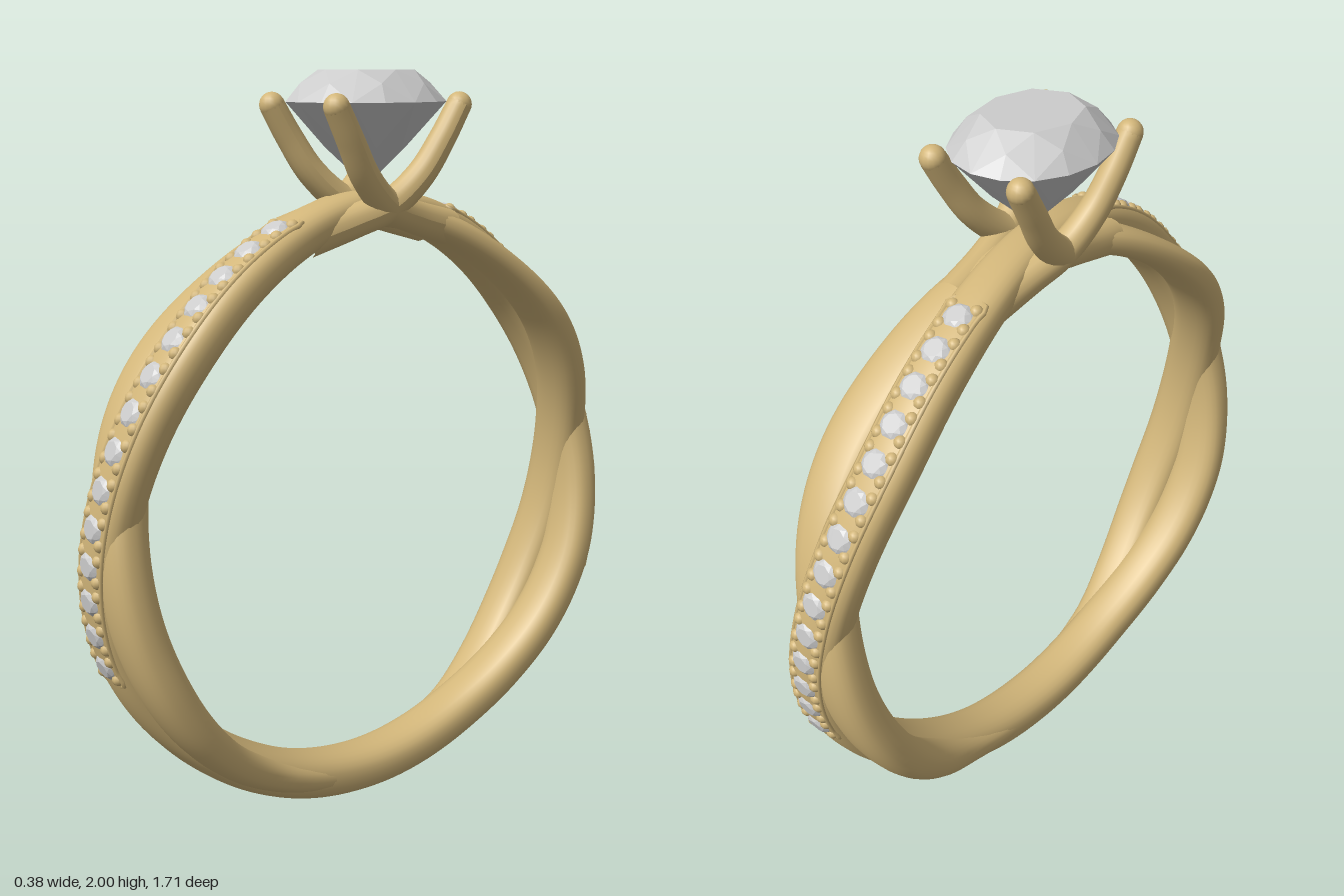
import * as THREE from 'three';
import { ConvexGeometry } from 'three/addons/geometries/ConvexGeometry.js';

const gold = new THREE.MeshStandardMaterial({ color: 0xd2b67a });
const stone = new THREE.MeshStandardMaterial({ color: 0xcccccc, flatShading: true });
const CENTRE = 0.85;

// Sideways sway: degrees from the top, offset of the stone set band and of the plain band
const SWAY = [
  [0, 0, 0], [20, 0.046, -0.046], [40, 0.071, -0.071], [52, 0.071, -0.071], [66, 0.043, -0.048],
  [81, 0, -0.005], [94, -0.038, 0.026], [108, -0.066, 0.05], [118, -0.068, 0.062],
  [129, -0.058, 0.063], [141, -0.037, 0.047], [156, -0.013, 0.016], [180, 0, 0],
];

function sway(t, column) {
  const turn = Math.atan2(Math.sin(t), Math.cos(t));
  const d = Math.min(THREE.MathUtils.radToDeg(Math.abs(turn)), 179.999);
  const i = SWAY.findIndex((p) => p[0] > d) - 1;
  const slope = (k) => {
    const a = SWAY[Math.max(k - 1, 0)], b = SWAY[Math.min(k + 1, SWAY.length - 1)];
    return (b[column] - a[column]) / (b[0] - a[0]);
  };
  const span = SWAY[i + 1][0] - SWAY[i][0], u = (d - SWAY[i][0]) / span;
  const ease = u * u * (3 - 2 * u);
  const x = SWAY[i][column] * (1 - ease) + SWAY[i + 1][column] * ease
    + span * (slope(i) * u * (1 - u) ** 2 - slope(i + 1) * u * u * (1 - u));
  return Math.sign(turn) * x;
}

// Centre, axes and half sizes of a band at angle t (0 = top, positive to the front)
function bandFrame(t, plain) {
  const top = Math.exp(-((t / 0.4) ** 2)); // slimmer and higher under the setting
  const low = THREE.MathUtils.smoothstep(Math.abs(t), 1.9, 2.7); // bands merge below
  const dip = Math.exp(-(((Math.abs(t) - 0.62) / 0.42) ** 2)); // plain band sits deeper
  const outer = plain ? 0.836 - 0.012 * low - 0.042 * dip : 0.848;
  const inner = plain ? 0.717 + 0.036 * top + 0.023 * low - 0.006 * dip : 0.732 + 0.02 * top - 0.012 * low;
  const r = (outer + inner) / 2, h = (outer - inner) / 2;
  const at = (a) => new THREE.Vector3(sway(a, plain ? 2 : 1), CENTRE + r * Math.cos(a), r * Math.sin(a));
  const radial = new THREE.Vector3(0, Math.cos(t), Math.sin(t));
  const tangent = at(t + 0.01).sub(at(t - 0.01)).normalize();
  const lateral = new THREE.Vector3().crossVectors(radial, tangent).normalize();
  const w = 0.077 - 0.014 * top - (plain ? 0.012 * low : 0);
  return { pos: at(t), radial, tangent, lateral, h, w };
}

// Closed band with a softly squared oval section
function bandGeometry(plain) {
  const n = 200, m = 24, pos = [], idx = [];
  const soft = (v) => Math.sign(v) * Math.abs(v) ** 0.82;
  for (let i = 0; i < n; i++) {
    const f = bandFrame(-Math.PI + (i / n) * Math.PI * 2, plain);
    for (let j = 0; j < m; j++) {
      const a = (j / m) * Math.PI * 2;
      const p = f.pos.clone()
        .addScaledVector(f.lateral, f.w * soft(Math.cos(a)))
        .addScaledVector(f.radial, f.h * soft(Math.sin(a)));
      pos.push(p.x, p.y, p.z);
      const i2 = (i + 1) % n, j2 = (j + 1) % m;
      idx.push(i * m + j, i * m + j2, i2 * m + j, i * m + j2, i2 * m + j2, i2 * m + j);
    }
  }
  const g = new THREE.BufferGeometry();
  g.setAttribute('position', new THREE.Float32BufferAttribute(pos, 3));
  g.setIndex(idx);
  g.computeVertexNormals();
  return g;
}

// Brilliant cut with unit radius, girdle at y = 0
function brilliantGeometry(crown, pavilion) {
  const pts = [new THREE.Vector3(0, -pavilion, 0)];
  const ring = (count, r, y, turn) => {
    for (let i = 0; i < count; i++) {
      const a = ((i + turn) / count) * Math.PI * 2;
      pts.push(new THREE.Vector3(r * Math.cos(a), y, r * Math.sin(a)));
    }
  };
  ring(8, 0.6, crown, 0);
  ring(8, 0.82, crown * 0.58, 0.5);
  ring(16, 1, 0, 0);
  ring(8, 0.52, -pavilion * 0.53, 0.5);
  return new ConvexGeometry(pts);
}

function add(parent, name, geometry, material) {
  const mesh = new THREE.Mesh(geometry, material);
  mesh.name = name;
  parent.add(mesh);
  return mesh;
}

// Row of small stones with holding beads and a fine rim
function stoneRow() {
  const row = new THREE.Group();
  row.name = 'stoneRow';
  const gem = brilliantGeometry(0.35, 0.7);
  const bead = new THREE.SphereGeometry(0.0175, 10, 8);
  const start = 0.35, end = 1.985, count = 14;
  const surface = (t, side, along, lift) => {
    const f = bandFrame(t, false);
    return f.pos.clone().addScaledVector(f.radial, f.h + lift)
      .addScaledVector(f.lateral, side).addScaledVector(f.tangent, along);
  };
  for (let i = 0; i < count; i++) {
    const t = start + ((i + 0.5) / count) * (end - start);
    const f = bandFrame(t, false);
    const g = add(row, 'smallStone', gem, stone);
    g.quaternion.setFromRotationMatrix(new THREE.Matrix4().makeBasis(f.lateral, f.radial, f.tangent));
    g.position.copy(surface(t, 0, 0, -0.008));
    g.scale.setScalar(0.041);
    for (const s of [-1, 1]) for (const k of [-1, 1])
      add(row, 'bead', bead, gold).position.copy(surface(t, s * 0.034, k * 0.029, -0.012));
  }
  const rim = [];
  const edge = (i, s) => rim.push(surface(start + (i / 30) * (end - start), s * 0.048, 0, -0.011));
  for (let i = 0; i <= 30; i++) edge(i, 1);
  for (let i = 30; i >= 0; i--) edge(i, -1);
  const curve = new THREE.CatmullRomCurve3(rim, true, 'centripetal');
  add(row, 'rim', new THREE.TubeGeometry(curve, 160, 0.007, 6, true), gold);
  return row;
}

// Claw stem, thick where it leaves the band and slim at the tip
function clawGeometry(path) {
  const curve = new THREE.CatmullRomCurve3(path), steps = 40, sides = 16;
  const g = new THREE.TubeGeometry(curve, steps, 1, sides);
  const p = g.attributes.position, v = new THREE.Vector3();
  for (let k = 0; k < p.count; k++) {
    const u = Math.floor(k / (sides + 1)) / steps, c = curve.getPointAt(u);
    v.fromBufferAttribute(p, k).sub(c).multiplyScalar(0.033 + 0.015 * (1 - u)).add(c);
    p.setXYZ(k, v.x, v.y, v.z);
  }
  g.computeVertexNormals();
  return g;
}

export function createModel() {
  const model = new THREE.Group();
  model.name = 'ring';

  // Two bands twisted around each other
  add(model, 'stoneSetBand', bandGeometry(false), gold);
  add(model, 'plainBand', bandGeometry(true), gold);

  // Stone rows, front and back by half a turn
  for (const turn of [0, Math.PI]) {
    const row = stoneRow();
    row.rotation.y = turn;
    model.add(row);
  }

  // Four claws growing out of the bands
  for (const sx of [-1, 1]) for (const sz of [-1, 1]) {
    const path = [
      [0.05, 1.59, -0.24], [0.068, 1.628, -0.1], [0.09, 1.665, 0.005],
      [0.11, 1.74, 0.092], [0.125, 1.83, 0.152], [0.132, 1.913, 0.202],
    ].map(([x, y, z]) => new THREE.Vector3(sx * x, y, sz * z));
    const claw = new THREE.Group();
    claw.name = 'claw';
    add(claw, 'clawStem', clawGeometry(path), gold);
    add(claw, 'clawTip', new THREE.SphereGeometry(0.033, 16, 12), gold).position.copy(path[5]);
    model.add(claw);
  }

  // Large centre stone
  const centre = add(model, 'centreStone', brilliantGeometry(0.4, 1.1), stone);
  centre.position.y = 1.922;
  centre.scale.set(0.19, 0.195, 0.22);
  return model;
}
